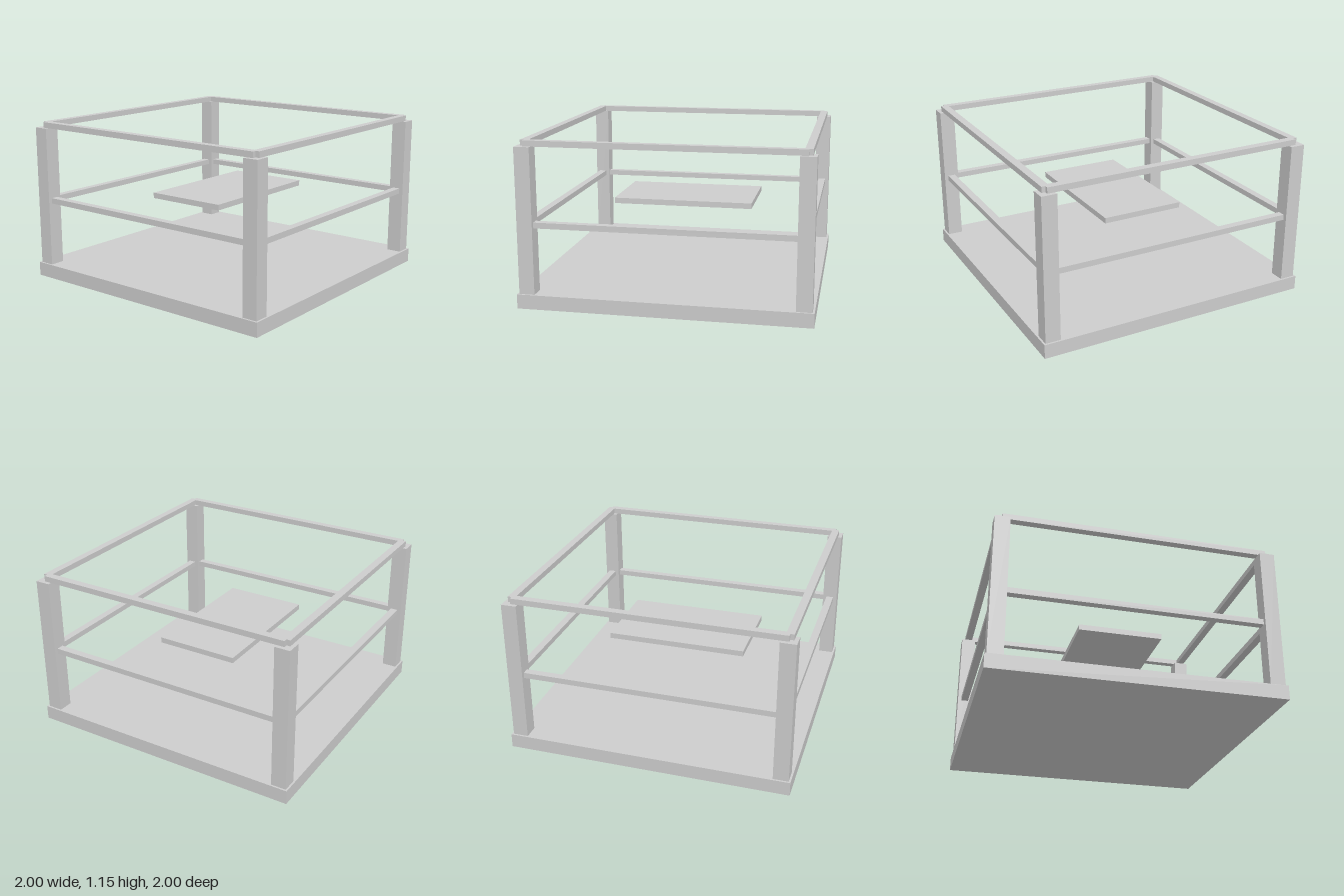
import * as THREE from 'three';

export function createModel() {
  const model = new THREE.Group();
  const grey = new THREE.MeshStandardMaterial({ color: 0xcccccc });
  grey.name = 'light grey';

  // Box standing on height y
  const box = (name, w, h, d, x, y, z) => {
    const mesh = new THREE.Mesh(new THREE.BoxGeometry(w, h, d), grey);
    mesh.name = name;
    mesh.position.set(x, y + h / 2, z);
    model.add(mesh);
  };

  const edge = 0.933; // centre line of posts and rails

  box('base', 2, 0.1, 2, 0, 0, 0);
  box('floatingPanel', 1, 0.04, 0.6, 0, 0.597, 0);

  // Corner posts
  for (const x of [-edge, edge])
    for (const z of [-edge, edge]) box('cornerPost', 0.107, 1.009, 0.107, x, 0.1, z);

  // Middle and top rails on all four sides
  for (const [name, y] of [['middleRail', 0.557], ['topRail', 1.109]])
    for (const s of [-edge, edge]) {
      box(name, 2 * edge, 0.04, 0.053, 0, y, s);
      box(name, 0.053, 0.04, 2 * edge, s, y, 0);
    }

  return model;
}
